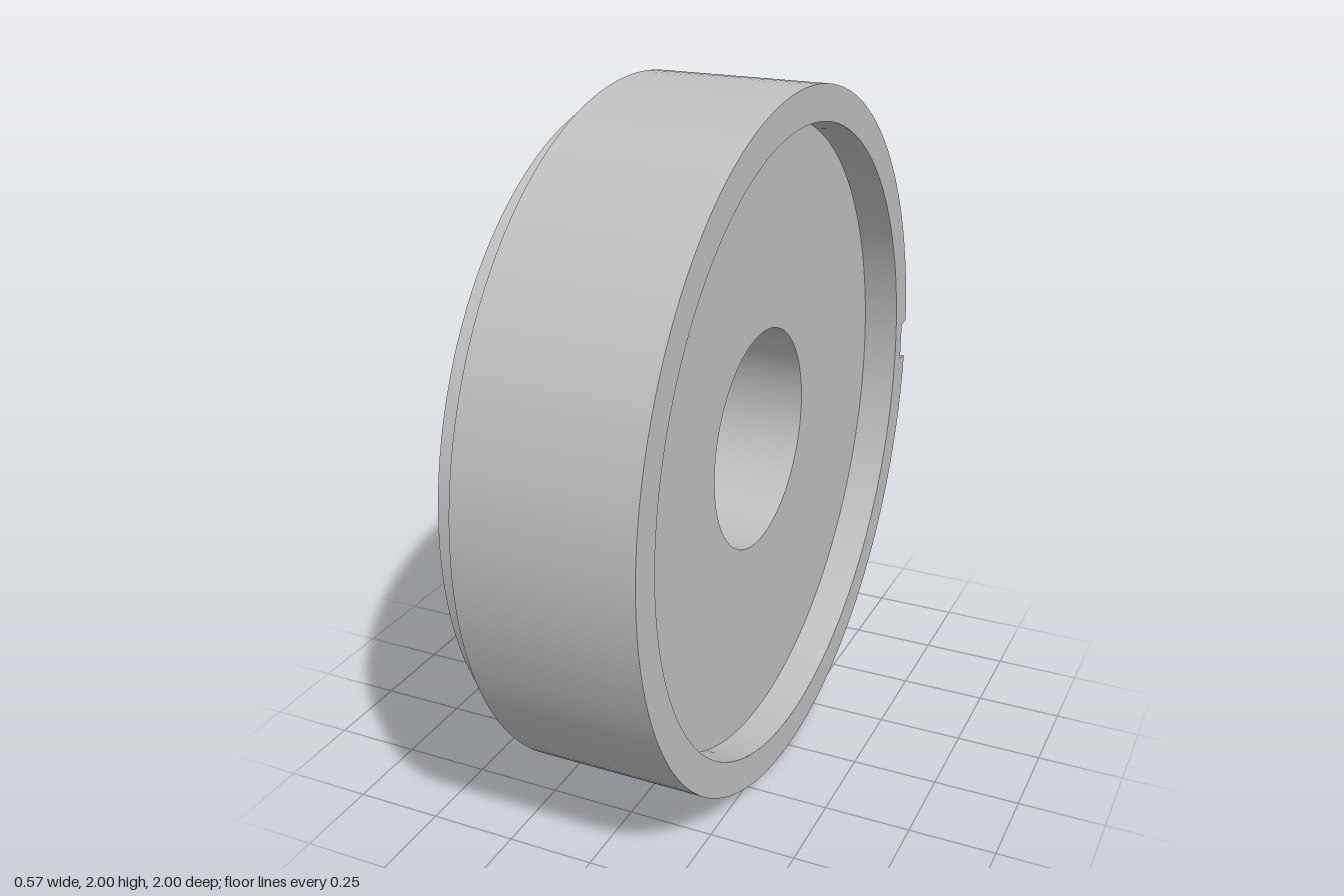
import * as THREE from 'three';

export function createModel() {
  const group = new THREE.Group();
  group.name = 'flangedDisc';
  const grey = new THREE.MeshStandardMaterial({ color: 0xc0c0c0 });
  grey.name = 'plain grey';

  const add = (name, geometry) => {
    const mesh = new THREE.Mesh(geometry, grey);
    mesh.name = name;
    mesh.position.y = 1;
    group.add(mesh);
  };

  // Main sizes, with the axis along x
  const back = -0.215, front = 0.285;
  const slotR = 0.0625, slotEnd = 0.135, slotFloor = 0.957, rimInner = 0.9;
  const slotAngle = Math.asin(slotR);

  // Closed ring profile as [radius, x]; each edge is its own lathe to stay sharp
  const profile = [
    [0.32, -0.285], [0.94, -0.285], [0.94, back], [1, back],
    [1, front], [rimInner, front], [rimInner, 0.178], [0.32, 0.178],
  ];
  const names = ['bossFace', 'bossWall', 'shoulder', 'outerWall',
    'rim', 'recessWall', 'recessFloor', 'bore'];
  names.forEach((name, i) => {
    const ends = [profile[i], profile[(i + 1) % profile.length]];
    const notched = name === 'outerWall' || name === 'rim';
    const gap = notched ? slotAngle : 0;
    const geometry = new THREE.LatheGeometry(
      ends.map(([r, x]) => new THREE.Vector2(r, x)),
      128, Math.PI + gap, 2 * Math.PI - 2 * gap);
    geometry.rotateZ(-Math.PI / 2);
    add(name, geometry);
  });

  // Round-ended slot outline on the outer wall, as [x, y]
  const outline = [[front, -slotR]];
  const steps = 20;
  for (let i = 0; i <= steps; i++) {
    const t = (i / steps) * Math.PI;
    outline.push([slotEnd + slotR * (1 - Math.sin(t)), -slotR * Math.cos(t)]);
  }
  outline.push([front, slotR]);

  // Row of points below the outline at a given radius, optionally at a fixed x
  const row = (radius, fixedX) => outline.map(([x, y]) =>
    [fixedX ?? x, y * radius, -Math.sqrt(1 - y * y) * radius]);

  // Surface between two rows
  const strip = (name, a, b) => {
    const n = a.length, index = [];
    for (let i = 0; i < n - 1; i++) {
      index.push(i, i + 1, n + i, i + 1, n + i + 1, n + i);
    }
    const geometry = new THREE.BufferGeometry();
    geometry.setAttribute('position',
      new THREE.Float32BufferAttribute([...a, ...b].flat(), 3));
    geometry.setIndex(index);
    geometry.computeVertexNormals();
    add(name, geometry);
  };

  strip('outerWallBesideSlot', row(1, back), row(1));
  strip('slotWall', row(1), row(slotFloor));
  strip('slotFloor', row(slotFloor), row(slotFloor, front));
  strip('rimBelowSlot', row(slotFloor, front), row(rimInner, front));

  return group;
}
